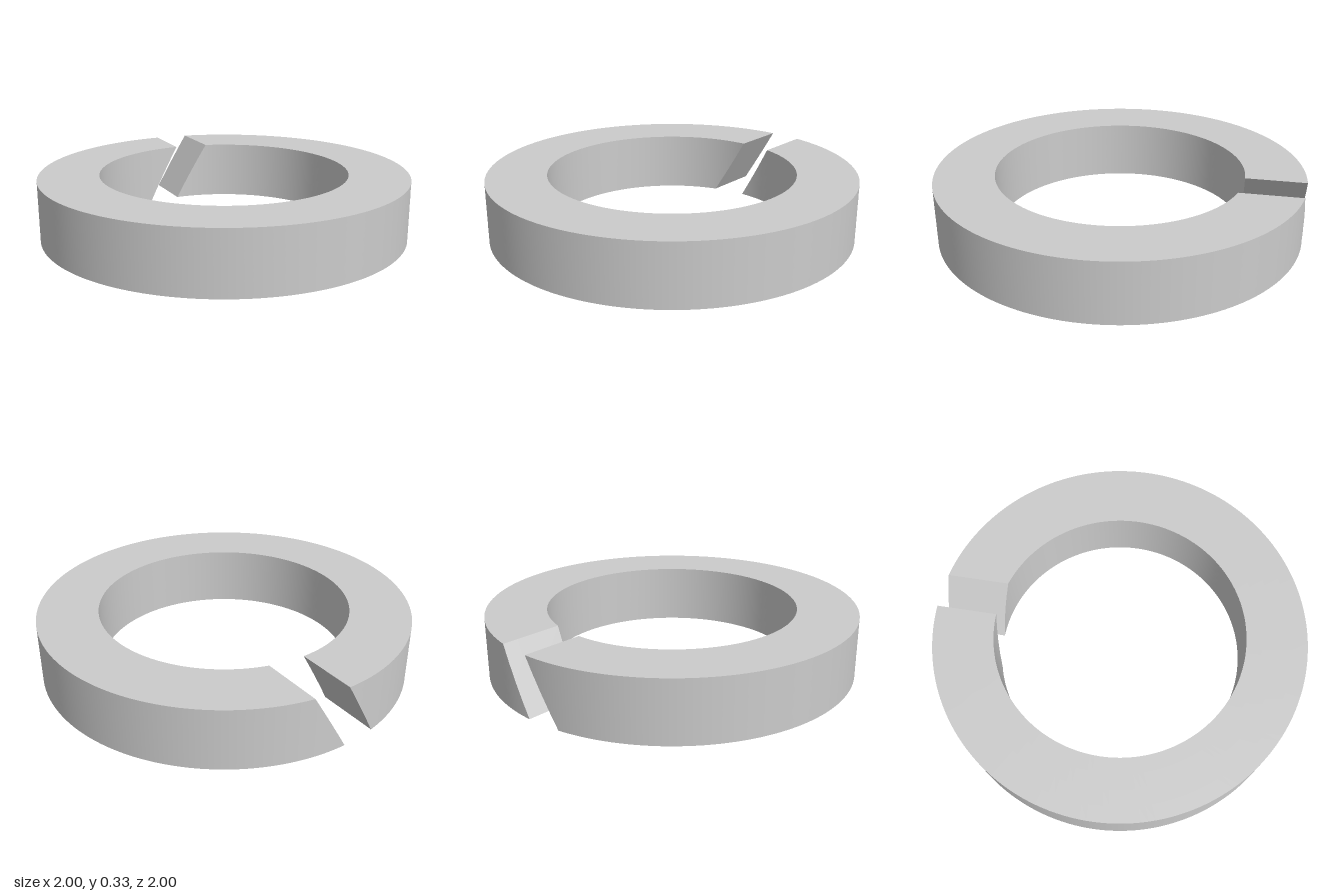
import * as THREE from 'three';
import { ParametricGeometry } from 'three/addons/geometries/ParametricGeometry.js';
import { mergeGeometries } from 'three/addons/utils/BufferGeometryUtils.js';

const INNER = 0.675, OUTER = 1, HEIGHT = 0.326, GAP = 0.188;
const lerp = THREE.MathUtils.lerp;

// Point on the ring: t sweeps from one slanted cut, around the front, to the other
function ringPoint(r, y, t, target) {
  const k = y / HEIGHT;
  const start = Math.asin(GAP * k / r);
  const end = 2 * Math.PI + Math.asin(GAP * (k - 1) / r);
  const a = lerp(start, end, t);
  target.set(r * Math.sin(a), y, -r * Math.cos(a));
}

export function createModel() {
  const group = new THREE.Group();
  group.name = 'splitWasher';

  // Rectangular section: inner wall, top, outer wall, bottom
  const corners = [[INNER, 0], [INNER, HEIGHT], [OUTER, HEIGHT], [OUTER, 0]];
  const parts = corners.map(([r0, y0], i) => {
    const [r1, y1] = corners[(i + 1) % 4];
    return new ParametricGeometry(
      (u, v, p) => ringPoint(lerp(r0, r1, v), lerp(y0, y1, v), u, p), 160, 4);
  });

  // Parallel slanted faces on both sides of the gap
  parts.push(new ParametricGeometry(
    (u, v, p) => ringPoint(lerp(INNER, OUTER, v), HEIGHT * u, 0, p), 4, 4));
  parts.push(new ParametricGeometry(
    (u, v, p) => ringPoint(lerp(INNER, OUTER, u), HEIGHT * v, 1, p), 4, 4));

  const ring = new THREE.Mesh(
    mergeGeometries(parts), new THREE.MeshStandardMaterial({ color: 0xcccccc }));
  ring.name = 'splitRing';
  group.add(ring);
  return group;
}
